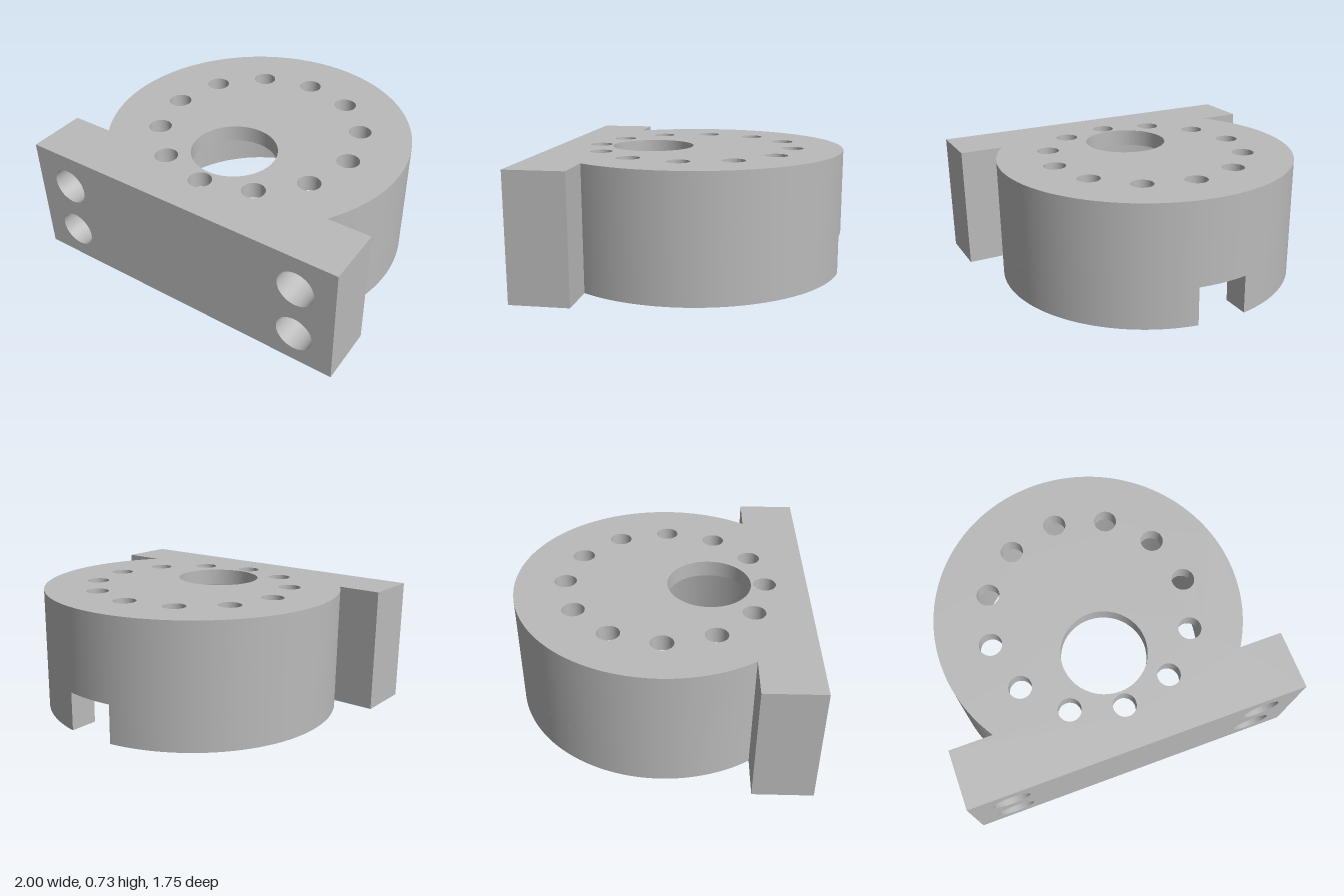
import * as THREE from 'three';

const H = 0.73, ZC = 0.025;               // height, disc centre in z
const R = 0.9, RI = 0.73, CEIL = 0.63;    // outer radius, recess radius, recess ceiling
const ZF = 0.873, ZB = 0.53;              // flange front and back
const NW = 0.15, NH = 0.23;               // notch half width and height
const BORE = 0.25, BORE_Z = 0.29, PIN = 0.067, PIN_R = 0.597;
const BOLT = 0.11, BOLT_DEPTH = 0.3;
const PI = Math.PI;
const joinX = Math.sqrt(R * R - (ZB - ZC) ** 2);
const A = Math.atan2(joinX, ZB - ZC);     // angle where disc meets flange
const nOut = Math.asin(NW / R), nIn = Math.asin(NW / RI);

export function createModel() {
  const group = new THREE.Group();
  const grey = new THREE.MeshStandardMaterial({ color: 0xbababa, side: THREE.DoubleSide });
  grey.name = 'machined grey';

  const add = (name, geo, x = 0, y = 0, z = 0) => {
    const mesh = new THREE.Mesh(geo, grey);
    mesh.name = name;
    mesh.position.set(x, y, z);
    group.add(mesh);
    return mesh;
  };
  // turn a surface inside out
  const flip = (geo) => {
    const ix = geo.index.array;
    for (let i = 0; i < ix.length; i += 3) [ix[i], ix[i + 1]] = [ix[i + 1], ix[i]];
    const n = geo.attributes.normal;
    for (let i = 0; i < n.array.length; i++) n.array[i] *= -1;
    return geo;
  };
  // arc points in (x, z), angle measured from +z towards +x
  const arc = (r, a0, a1, n = 96, cx = 0, cz = ZC) => Array.from({ length: n + 1 }, (_, i) => {
    const a = a0 + (a1 - a0) * i / n;
    return new THREE.Vector2(cx + r * Math.sin(a), cz + r * Math.cos(a));
  });
  const circle = (r, x, z, n = 48) => new THREE.Path(arc(r, 0, 2 * PI, n, x, z).slice(0, -1));
  // flat horizontal face
  const cap = (name, points, y, up, holes = []) => {
    const s = new THREE.Shape(points);
    s.holes.push(...holes);
    const geo = new THREE.ShapeGeometry(s).rotateX(PI / 2);
    return add(name, up ? flip(geo) : geo, 0, y, 0);
  };
  // upright curved wall
  const wall = (name, r, y0, y1, a0, a1, inside, x = 0, z = ZC, n = 96) => {
    const geo = new THREE.CylinderGeometry(r, r, y1 - y0, n, 1, true, a0, a1 - a0);
    return add(name, inside ? flip(geo) : geo, x, (y0 + y1) / 2, z);
  };

  const flange = [[1, ZB], [1, ZF], [-1, ZF], [-1, ZB]].map(([x, z]) => new THREE.Vector2(x, z));
  const pins = Array.from({ length: 12 }, (_, i) => {
    const a = i * PI / 6;
    return [PIN, PIN_R * Math.sin(a), ZC + PIN_R * Math.cos(a)];
  });
  const openings = [...pins, [BORE, 0, BORE_Z]];
  const holes = () => openings.map((o) => circle(...o));

  // top plate with ring of pin holes and offset bore
  cap('topFace', [...flange, ...arc(R, 2 * PI - A, A, 128)], H, true, holes());
  cap('recessCeiling', arc(RI, 0, 2 * PI, 96).slice(0, -1), CEIL, false, holes());
  openings.forEach(([r, x, z], i) =>
    wall(i < 12 ? 'pinHole' : 'bore', r, CEIL, H, 0, 2 * PI, true, x, z, 48));

  // disc side and recess, interrupted by the rear notch near the base
  wall('discSide', R, NH, H, A, 2 * PI - A, false, 0, ZC, 128);
  wall('discSideLower', R, 0, NH, A, PI - nOut, false);
  wall('discSideLower', R, 0, NH, PI + nOut, 2 * PI - A, false);
  wall('recessWall', RI, NH, CEIL, 0, 2 * PI, true);
  wall('recessWallLower', RI, 0, NH, nIn - PI, PI - nIn, true);

  // base rim
  cap('baseRim', [
    ...flange,
    ...arc(R, 2 * PI - A, PI + nOut, 64),
    ...arc(RI, PI + nIn, 3 * PI - nIn, 96),
    ...arc(R, PI - nOut, A, 64),
  ], 0, false);

  // rear notch
  cap('notchCeiling', [...arc(R, PI - nOut, PI + nOut, 12), ...arc(RI, PI + nIn, PI - nIn, 12)], NH, false);
  const zOut = ZC - R * Math.cos(nOut), zIn = ZC - RI * Math.cos(nIn);
  for (const s of [-1, 1]) {
    add('notchSide', new THREE.PlaneGeometry(zIn - zOut, NH).rotateY(-s * PI / 2),
      s * NW, NH / 2, (zIn + zOut) / 2);
    // flange ends and backs
    add('flangeEnd', new THREE.PlaneGeometry(ZF - ZB, H).rotateY(s * PI / 2), s, H / 2, (ZF + ZB) / 2);
    add('flangeBack', new THREE.PlaneGeometry(1 - joinX, H).rotateY(PI), s * (1 + joinX) / 2, H / 2, ZB);
  }

  // flange front with four blind bolt holes
  const front = new THREE.Shape([[-1, 0], [1, 0], [1, H], [-1, H]].map(([x, y]) => new THREE.Vector2(x, y)));
  for (const x of [-0.767, 0.767]) for (const y of [0.195, 0.52]) {
    front.holes.push(circle(BOLT, x, y));
    const side = new THREE.CylinderGeometry(BOLT, BOLT, BOLT_DEPTH, 48, 1, true).rotateX(PI / 2);
    add('boltHole', flip(side), x, y, ZF - BOLT_DEPTH / 2);
    add('boltHoleEnd', new THREE.CircleGeometry(BOLT, 48), x, y, ZF - BOLT_DEPTH);
  }
  add('flangeFront', new THREE.ShapeGeometry(front), 0, 0, ZF);

  return group;
}
